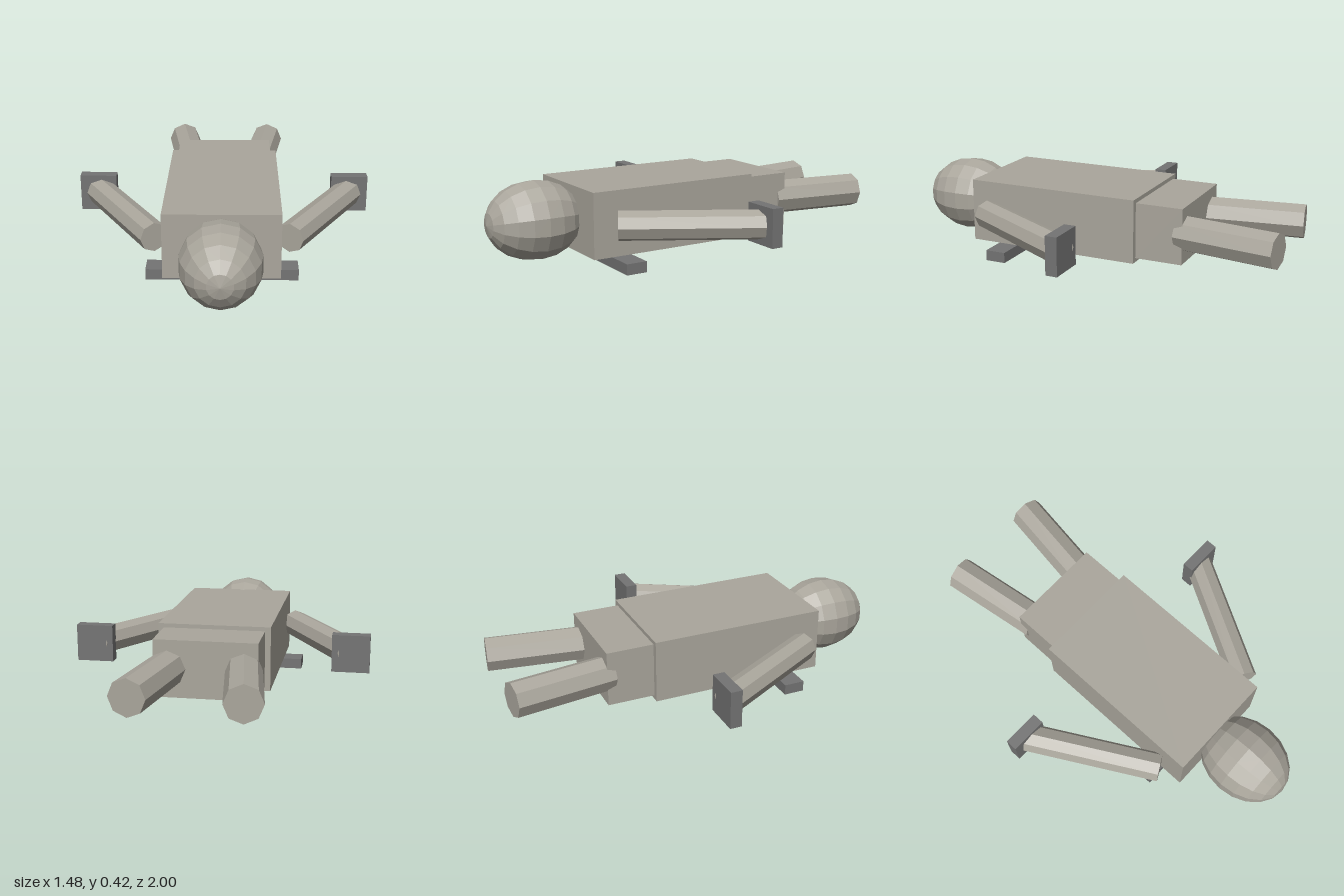
import * as THREE from 'three';

export function createModel() {
  const model = new THREE.Group();
  model.name = 'lyingFigure';

  const stone = new THREE.MeshStandardMaterial({ color: 0xaaa69c, flatShading: true });
  stone.name = 'warm grey';
  const metal = new THREE.MeshStandardMaterial({ color: 0x747474, flatShading: true });
  metal.name = 'dark grey';

  const MID_Y = 0.227;

  const add = (name, geometry, material) => {
    const mesh = new THREE.Mesh(geometry, material);
    mesh.name = name;
    model.add(mesh);
    return mesh;
  };

  // Box given by its centre and size
  const box = (name, material, [x, y, z], size) =>
    add(name, new THREE.BoxGeometry(...size), material).position.set(x, y, z);

  // Level eight-sided rod between two points in plan, with a corner facing up
  const rod = (name, radius, [x0, z0], [x1, z1]) => {
    const dx = x1 - x0, dz = z1 - z0;
    const geometry = new THREE.CylinderGeometry(radius, radius, Math.hypot(dx, dz), 8);
    geometry.rotateX(Math.PI / 2);
    const mesh = add(name, geometry, stone);
    mesh.position.set((x0 + x1) / 2, MID_Y, (z0 + z1) / 2);
    mesh.rotation.y = Math.atan2(dx, dz);
  };

  // Trunk
  box('torso', stone, [0, MID_Y, 0.1475], [0.545, 0.315, 0.885]);
  box('hips', stone, [0, MID_Y, -0.4125], [0.49, 0.275, 0.235]);

  // Head: stretched ball with its poles along z
  const headShape = new THREE.SphereGeometry(0.19, 14, 10, Math.PI / 2);
  headShape.rotateX(Math.PI / 2);
  headShape.scale(1, 1, 0.237 / 0.19);
  add('head', headShape, stone).position.set(0, MID_Y, 0.763);

  // Limbs and hand plates, mirrored
  for (const [side, s] of [['left', 1], ['right', -1]]) {
    rod(side + 'Arm', 0.071, [s * 0.313, 0.486], [s * 0.643, -0.1]);
    rod(side + 'Leg', 0.087, [s * 0.175, -0.497], [s * 0.247, -0.988]);
    box(side + 'HandPlate', metal, [s * 0.645, MID_Y, -0.102], [0.185, 0.185, 0.058]);
  }

  // Cross bar under the chest
  box('crossBar', metal, [0, 0.0265, 0.417], [0.724, 0.053, 0.104]);

  return model;
}
